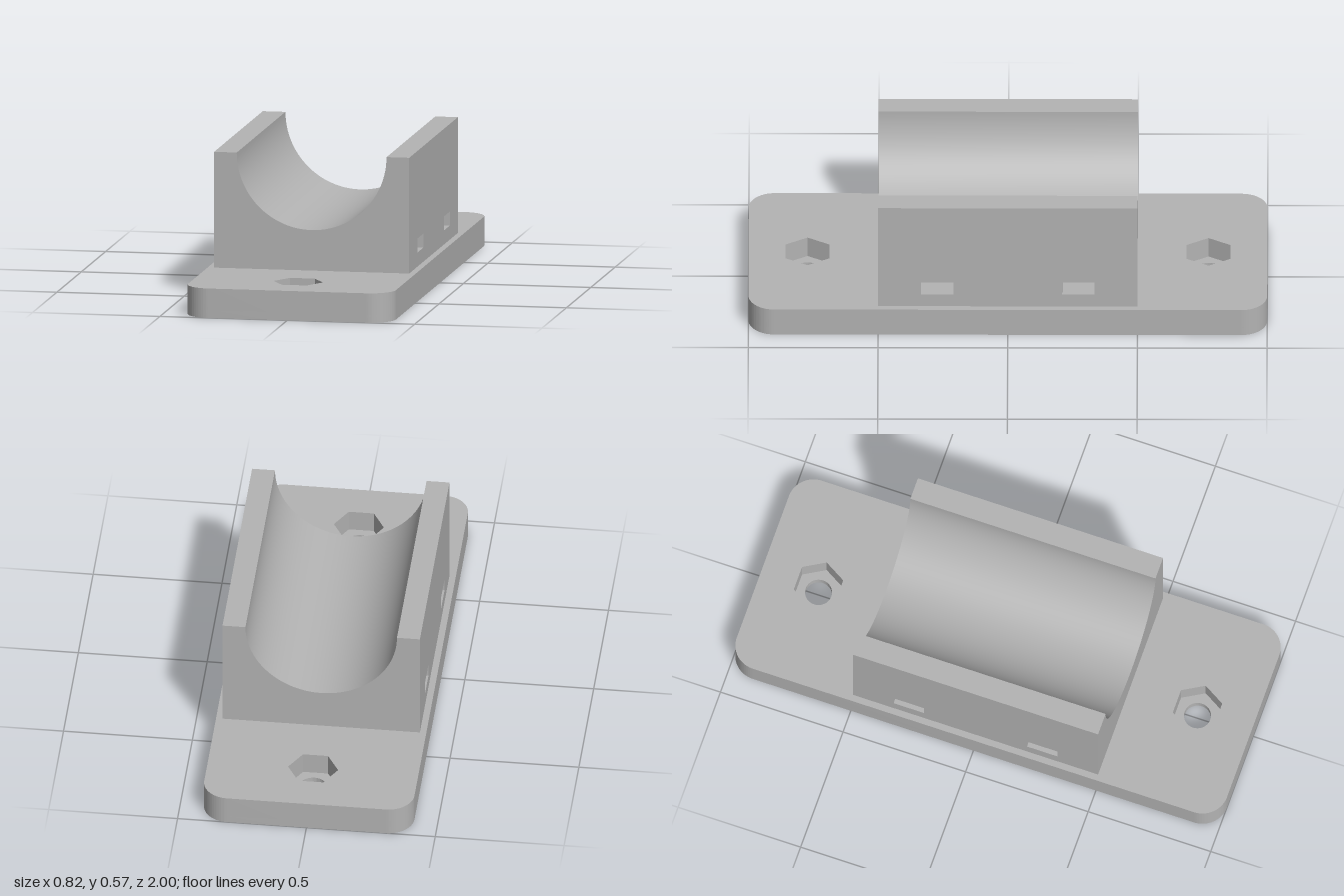
import * as THREE from 'three';
import { toCreasedNormals } from 'three/addons/utils/BufferGeometryUtils.js';

const BASE_H = 0.115, FLOOR = 0.03, BLOCK_W = 0.383, BLOCK_L = 0.5;
const SPLIT = 0.25, TOP = 0.567, BORE = 0.294, SCREW_Z = 0.773;

const polygon = (Type, pts) => new Type(pts.map(([x, y]) => new THREE.Vector2(x, y)));
const rect = (Type, x0, y0, x1, y1) => polygon(Type, [[x0, y0], [x1, y0], [x1, y1], [x0, y1]]);

function extrude(shape, depth) {
  const geo = new THREE.ExtrudeGeometry(shape, { depth, bevelEnabled: false, curveSegments: 32 });
  return toCreasedNormals(geo, 0.5);
}

// Rounded rectangle for the mounting plate
function plateShape(w, l, r) {
  const s = new THREE.Shape();
  s.absarc(w - r, l - r, r, 0, Math.PI / 2);
  s.absarc(r - w, l - r, r, Math.PI / 2, Math.PI);
  s.absarc(r - w, r - l, r, Math.PI, Math.PI * 1.5);
  s.absarc(w - r, r - l, r, Math.PI * 1.5, Math.PI * 2);
  s.closePath();
  return s;
}

export function createModel() {
  const model = new THREE.Group();
  model.name = 'pipeSaddleMount';
  const grey = new THREE.MeshStandardMaterial({ color: 0xb3b3b3 });
  grey.name = 'grey plastic';
  const add = (name, geo) => {
    const mesh = new THREE.Mesh(geo, grey);
    mesh.name = name;
    model.add(mesh);
  };

  // Plate: round screw holes below, hexagonal nut pockets above
  const lower = plateShape(0.408, 1, 0.1);
  const upper = plateShape(0.408, 1, 0.1);
  for (const z of [-SCREW_Z, SCREW_Z]) {
    lower.holes.push(new THREE.Path().absarc(0, z, 0.052, 0, Math.PI * 2, true));
    const hex = Array.from({ length: 6 }, (_, i) => {
      const a = (i * Math.PI) / 3;
      return [0.097 * Math.cos(a), z + 0.097 * Math.sin(a)];
    });
    upper.holes.push(polygon(THREE.Path, hex));
  }
  add('plateWithScrewHoles', extrude(lower, FLOOR).rotateX(-Math.PI / 2));
  add('plateWithNutPockets', extrude(upper, BASE_H - FLOOR).rotateX(-Math.PI / 2).translate(0, FLOOR, 0));

  // Lower block with two strap slots running through from side to side
  const slotted = rect(THREE.Shape, -BLOCK_L, BASE_H, BLOCK_L, SPLIT);
  for (const z of [-0.272, 0.272]) {
    slotted.holes.push(rect(THREE.Path, z - 0.062, 0.17, z + 0.062, 0.225));
  }
  add('slottedBlock', extrude(slotted, 2 * BLOCK_W).translate(0, 0, -BLOCK_W).rotateY(Math.PI / 2));

  // Upper block with the half-round cradle
  const cradle = new THREE.Shape();
  cradle.moveTo(-BLOCK_W, SPLIT);
  cradle.lineTo(BLOCK_W, SPLIT);
  cradle.lineTo(BLOCK_W, TOP);
  cradle.lineTo(BORE, TOP);
  cradle.absarc(0, TOP, BORE, 0, -Math.PI, true);
  cradle.lineTo(-BLOCK_W, TOP);
  cradle.closePath();
  add('cradle', extrude(cradle, 2 * BLOCK_L).translate(0, 0, -BLOCK_L));

  return model;
}
